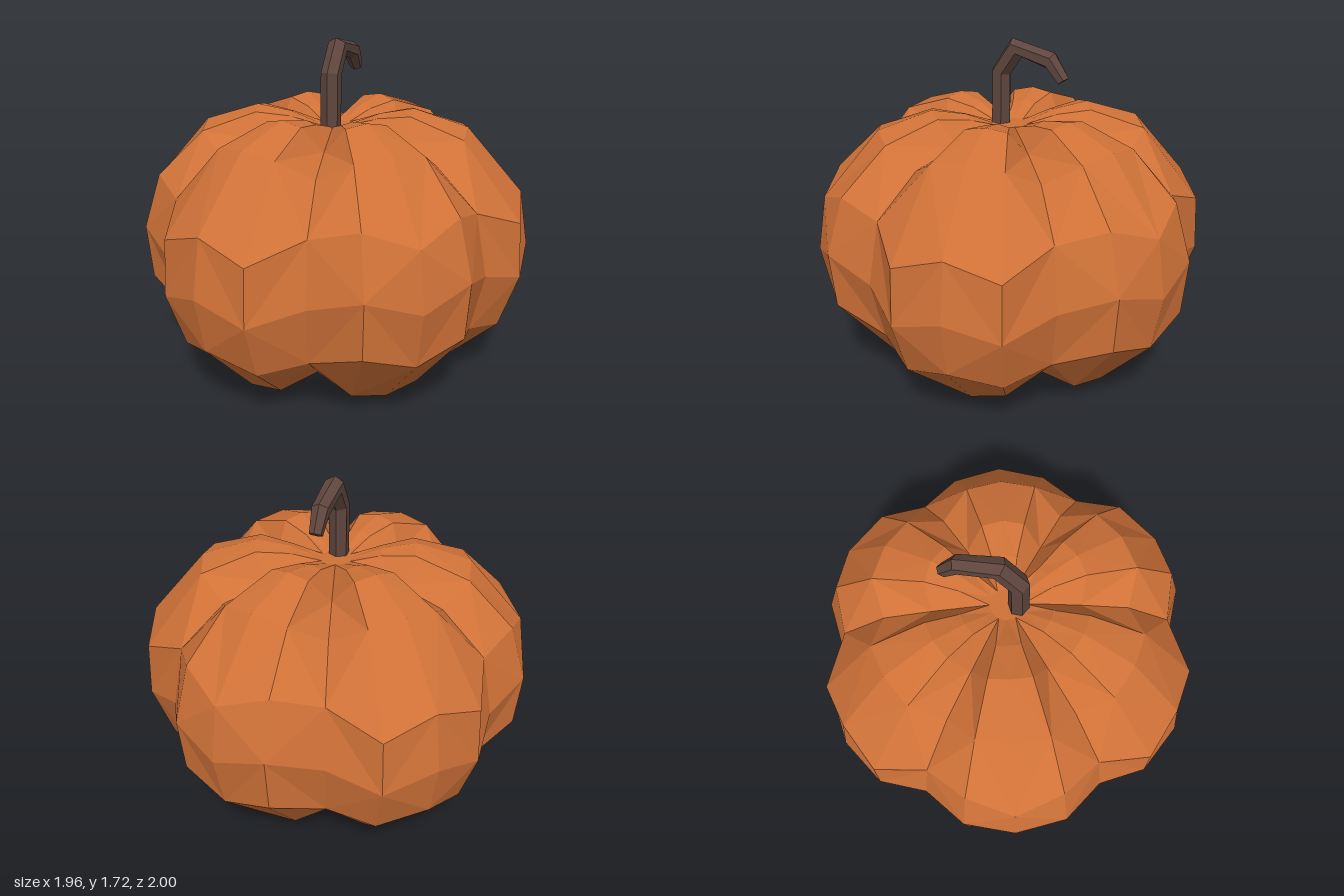
import * as THREE from 'three';

const orange = new THREE.MeshStandardMaterial({ color: 0xd07238 });
orange.name = 'pumpkinOrange';
const brown = new THREE.MeshStandardMaterial({ color: 0x5f463e });
brown.name = 'stemBrown';
const green = new THREE.MeshStandardMaterial({ color: 0x1f6a40 });
green.name = 'baseGreen';

// Joins closed rings (listed bottom to top) into a faceted skin
function skin(rings, capBottom, capTop) {
  const n = rings[0].length, pos = [];
  const tri = (...pts) => pts.forEach((p) => pos.push(p.x, p.y, p.z));
  for (let j = 0; j + 1 < rings.length; j++) {
    for (let i = 0; i < n; i++) {
      const k = (i + 1) % n;
      const a = rings[j][i], b = rings[j][k], c = rings[j + 1][i], d = rings[j + 1][k];
      if ((i + j) % 2) { tri(a, c, b); tri(b, c, d); } else { tri(a, c, d); tri(a, d, b); }
    }
  }
  const last = rings.length - 1;
  for (let i = 0; i < n; i++) {
    const k = (i + 1) % n;
    if (capBottom) tri(capBottom, rings[0][i], rings[0][k]);
    if (capTop) tri(capTop, rings[last][k], rings[last][i]);
  }
  const geo = new THREE.BufferGeometry();
  geo.setAttribute('position', new THREE.Float32BufferAttribute(pos, 3));
  geo.computeVertexNormals();
  return geo;
}

function add(group, name, geo, material) {
  const mesh = new THREE.Mesh(geo, material);
  mesh.name = name;
  group.add(mesh);
  return mesh;
}

// Six lobes, four columns each; half profiles are [radius, height above the equator]
function bodyGeometry() {
  const mid = 0.7, start = 0.11;
  const groove = [[0.895, 0], [0.83, 0.3], [0.6, 0.49], [0.36, 0.55], [0.2, 0.58], [0.08, 0.6]];
  const shoulder = [[0.99, 0], [0.94, 0.28], [0.67, 0.58], [0.4, 0.67], [0.23, 0.645], [0.08, 0.6]];
  const crest = [[1.005, 0], [0.955, 0.28], [0.67, 0.605], [0.4, 0.69], [0.23, 0.66], [0.08, 0.6]];
  const columns = [groove, shoulder, crest, shoulder];
  const rings = [];
  for (let row = -5; row <= 5; row++) {
    const ring = [];
    for (let i = 0; i < 24; i++) {
      const angle = start + (i / 24) * Math.PI * 2;
      const [r, h] = columns[i % 4][Math.abs(row)];
      // Shoulder points near the equator step up or down on alternate lobes
      const lobe = Math.floor(i / 4);
      const shift = i % 2 && Math.abs(row) < 2 ? (lobe % 2 ? 0.08 : -0.08) : 0;
      const radius = r - (row * shift > 0 ? 0.04 : row * shift < 0 ? -0.03 : 0);
      ring.push(new THREE.Vector3(
        Math.cos(angle) * radius, mid + Math.sign(row) * h + shift, Math.sin(angle) * radius));
    }
    rings.push(ring);
  }
  return skin(rings, null, new THREE.Vector3(0, 1.3, 0));
}

// Six-sided stem that rises and hooks over; each step is [along, height, lean, radius]
function stemGeometry() {
  const dir = new THREE.Vector3(0.77, 0, -0.63);
  const side = new THREE.Vector3(0.63, 0, 0.77);
  const origin = new THREE.Vector3(-0.045, 0, 0.04);
  const steps = [
    [0, 1.26, 0, 0.052], [0.005, 1.56, 0.25, 0.052], [0.095, 1.685, 1.0, 0.052],
    [0.285, 1.64, 2.05, 0.045], [0.355, 1.55, 2.55, 0.033],
  ];
  const centre = ([s, y]) => origin.clone().addScaledVector(dir, s).setY(y);
  const rings = steps.map((step) => {
    const [, , lean, r] = step;
    const across = dir.clone().multiplyScalar(Math.cos(lean)).setY(-Math.sin(lean));
    return Array.from({ length: 6 }, (_, i) => {
      const a = (i / 6) * Math.PI * 2;
      return centre(step).addScaledVector(across, Math.cos(a) * r)
        .addScaledVector(side, Math.sin(a) * r);
    });
  });
  return skin(rings, centre(steps[0]), centre(steps[steps.length - 1]));
}

export function createModel() {
  const model = new THREE.Group();
  model.name = 'pumpkin';
  add(model, 'body', bodyGeometry(), orange);
  add(model, 'stem', stemGeometry(), brown);
  // Small plate in the hollow underneath
  const base = add(model, 'basePlate', new THREE.CircleGeometry(0.09, 6), green);
  base.rotation.x = Math.PI / 2;
  base.position.y = 0.098;
  return model;
}
